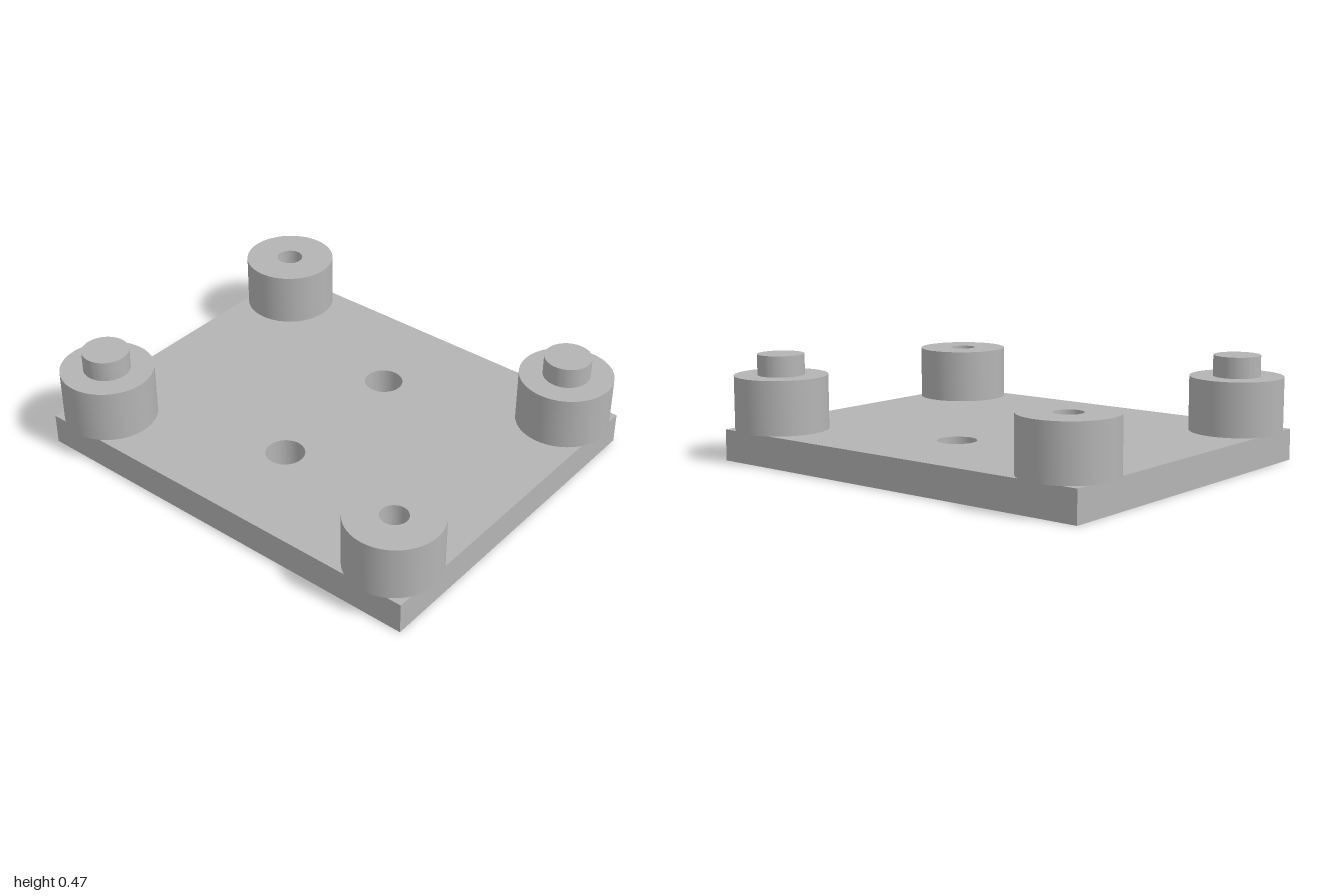
import * as THREE from 'three';
import { toCreasedNormals } from 'three/addons/utils/BufferGeometryUtils.js';

const PLATE_TOP = 0.14, POST_TOP = 0.382, PIN_TOP = 0.475;
const POST_R = 0.207, PIN_R = 0.104, BORE_R = 0.06;

// Turned solid from [radius, height] pairs, listed from the bottom axis outward and up
function turned(profile) {
  const points = profile.map(([r, y]) => new THREE.Vector2(r, y));
  return toCreasedNormals(new THREE.LatheGeometry(points, 64), Math.PI / 6);
}

export function createModel() {
  const model = new THREE.Group();
  model.name = 'mountingPlate';
  const grey = new THREE.MeshStandardMaterial({ color: 0xb4b4b4 });
  grey.name = 'grey';

  const add = (name, geometry, x = 0, z = 0) => {
    const mesh = new THREE.Mesh(geometry, grey);
    mesh.name = name;
    mesh.position.set(x, 0, z);
    model.add(mesh);
  };

  // Base plate with two through holes
  const outline = new THREE.Shape([
    new THREE.Vector2(-0.793, -0.967), new THREE.Vector2(0.793, -0.967),
    new THREE.Vector2(0.793, 0.967), new THREE.Vector2(-0.793, 0.967),
  ]);
  for (const x of [-0.346, 0.346]) {
    outline.holes.push(new THREE.Path().absarc(x, 0, 0.086, 0, Math.PI * 2, true));
  }
  const plate = new THREE.ExtrudeGeometry(outline, { depth: PLATE_TOP, bevelEnabled: false, curveSegments: 48 });
  plate.rotateX(-Math.PI / 2);
  add('basePlate', toCreasedNormals(plate, Math.PI / 6));

  // Corner posts: pins on one diagonal, bored sockets on the other
  const body = [[0, PLATE_TOP], [POST_R, PLATE_TOP], [POST_R, POST_TOP]];
  const pinPost = turned([...body, [PIN_R, POST_TOP], [PIN_R, PIN_TOP], [0, PIN_TOP]]);
  const socketPost = turned([...body, [BORE_R, POST_TOP], [BORE_R, PLATE_TOP]]);
  for (const sx of [-1, 1]) {
    for (const sz of [-1, 1]) {
      const pin = sx === sz;
      add(pin ? 'pinPost' : 'socketPost', pin ? pinPost : socketPost, sx * 0.615, sz * 0.793);
    }
  }
  return model;
}
